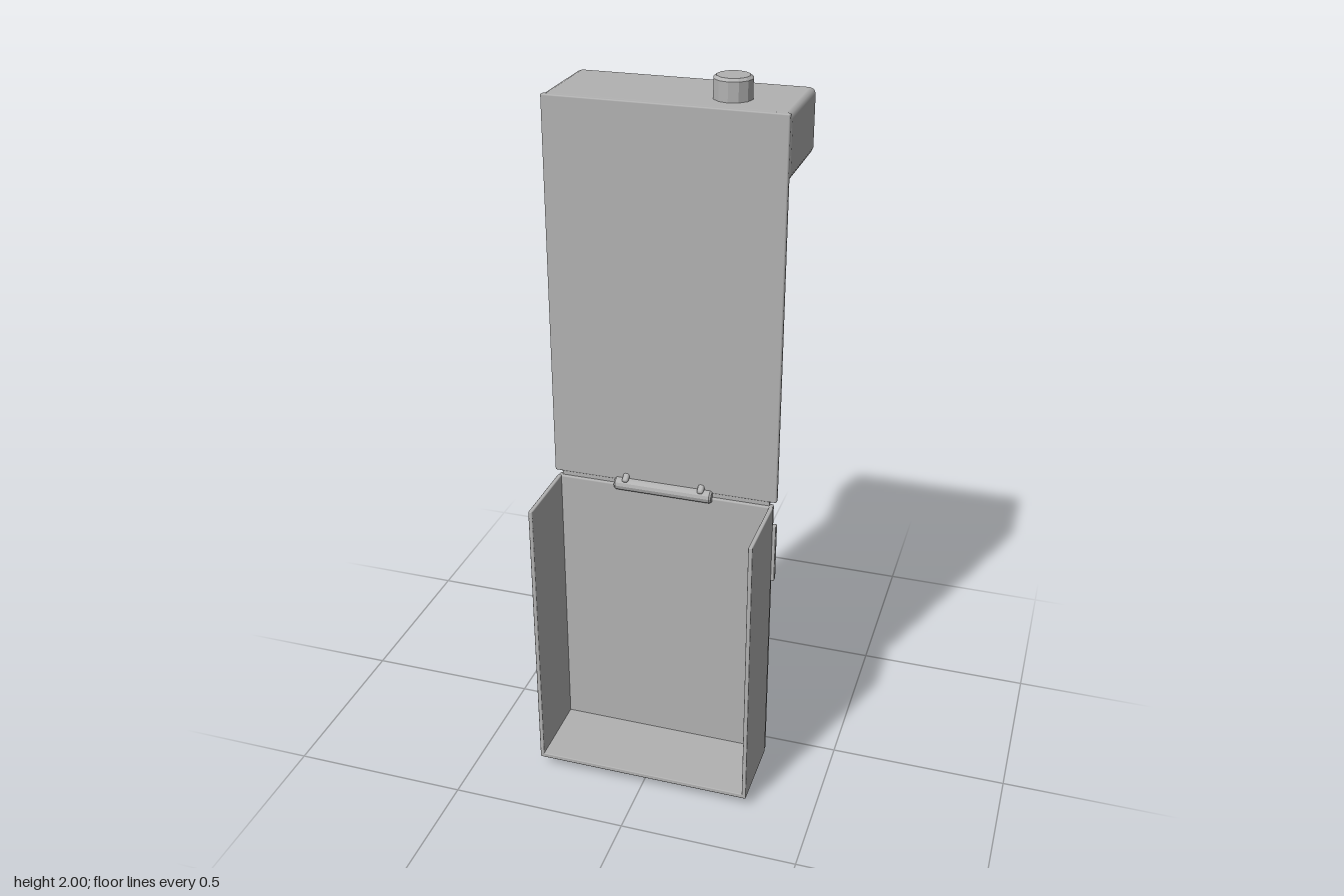
import * as THREE from 'three';
import { RoundedBoxGeometry } from 'three/addons/geometries/RoundedBoxGeometry.js';

export function createModel() {
  const root = new THREE.Group();
  const grey = new THREE.MeshStandardMaterial({ color: 0xb2b2b2 });
  grey.name = 'plainGrey';

  const add = (name, geo, parent = root) => {
    const mesh = new THREE.Mesh(geo, grey);
    mesh.name = name;
    parent.add(mesh);
    return mesh;
  };
  // Bevelled box given by its limits on each axis
  const box = (name, [x0, x1], [y0, y1], [z0, z1], bevel = 0.004, parent = root) => {
    const w = x1 - x0, h = y1 - y0, d = z1 - z0;
    const geo = bevel
      ? new RoundedBoxGeometry(w, h, d, 1, Math.min(bevel, w * 0.45, h * 0.45, d * 0.45))
      : new THREE.BoxGeometry(w, h, d);
    geo.translate((x0 + x1) / 2, (y0 + y1) / 2, (z0 + z1) / 2);
    return add(name, geo, parent);
  };
  // Turned part along +y from [radius, height] pairs, faceted
  const turned = (name, points, sides = 12, parent = root) => {
    const lathe = new THREE.LatheGeometry(points.map(([r, y]) => new THREE.Vector2(r, y)), sides);
    const geo = lathe.toNonIndexed();
    geo.computeVertexNormals();
    return add(name, geo, parent);
  };
  // Rectangular frame extruded in z
  const frame = (name, w, y0, y1, t, z0, depth) => {
    const shape = new THREE.Shape();
    shape.moveTo(-w, y0).lineTo(w, y0).lineTo(w, y1).lineTo(-w, y1).closePath();
    const hole = new THREE.Path();
    hole.moveTo(-w + t, y0 + t).lineTo(-w + t, y1 - t).lineTo(w - t, y1 - t).lineTo(w - t, y0 + t).closePath();
    shape.holes.push(hole);
    const geo = new THREE.ExtrudeGeometry(shape, { depth, bevelEnabled: false });
    geo.translate(0, 0, z0);
    return add(name, geo);
  };

  // Lower tray, open at the front and top
  box('trayBack', [-0.31, 0.31], [0.032, 0.865], [0.085, 0.108], 0.005);
  box('trayFloor', [-0.312, 0.312], [0.032, 0.046], [0.104, 0.325], 0.003);
  for (const s of [-1, 1]) {
    const x = s * 0.306;
    box('traySide', [x - 0.006, x + 0.006], [0.032, 0.865], [0.104, 0.325], 0.003);
    box('sideCatch', [s * 0.315 - 0.006, s * 0.315 + 0.006], [0.63, 0.805], [0.088, 0.106], 0.003);
  }
  box('backLabelPlate', [-0.273, 0.273], [0.085, 0.275], [0.077, 0.086], 0.002);
  box('bottomLatch', [-0.07, 0.07], [0, 0.026], [0.04, 0.097], 0.008);
  box('bottomLatchTab', [-0.045, 0.045], [0.018, 0.04], [0.082, 0.096], 0.003);

  // Upper panel with raised rim, and the head box
  box('panelSheet', [-0.32, 0.32], [0.877, 1.942], [0.086, 0.103], 0.004);
  frame('panelRim', 0.316, 0.88, 1.8, 0.03, 0.073, 0.016);
  box('headBox', [-0.322, 0.322], [1.772, 1.942], [-0.178, 0.1], 0.015);
  turned('topKnob', [[0, 0], [0.051, 0], [0.051, 0.055], [0.043, 0.062], [0, 0.062]])
    .position.set(0.15, 1.938, -0.003);
  const rearKnob = turned('rearKnob', [[0, 0], [0.052, 0], [0.052, 0.025], [0.046, 0.031], [0, 0.031]]);
  rearKnob.position.set(-0.196, 1.857, -0.176);
  rearKnob.rotation.x = -Math.PI / 2;

  // Mounting plate on spacers
  box('mountingPlate', [-0.243, 0.243], [1.057, 1.693], [0.03, 0.066], 0.006);
  for (const x of [-0.19, 0.19]) for (const y of [1.12, 1.63]) {
    box('plateSpacer', [x - 0.02, x + 0.02], [y - 0.02, y + 0.02], [0.06, 0.09], 0);
  }

  // Forked clips, stop blocks and rollers on the plate
  for (const s of [-1, 1]) {
    const x = s * 0.105;
    box('clipBase', [x - 0.033, x + 0.033], [1.557, 1.628], [-0.012, 0.032], 0.004);
    for (const p of [-1, 1]) {
      const px = x + p * 0.024;
      box('clipProng', [px - 0.01, px + 0.01], [1.557, 1.628], [-0.066, 0.0], 0.004);
    }
    box('stopBlock', [x - 0.025, x + 0.025], [1.13, 1.19], [-0.031, 0.032], 0.005);
    const roller = turned('roller', [
      [0, -0.08], [0.011, -0.08], [0.011, -0.06], [0.022, -0.06], [0.028, -0.052],
      [0.028, 0.052], [0.022, 0.06], [0.011, 0.06], [0.011, 0.08], [0, 0.08],
    ]);
    roller.rotation.z = Math.PI / 2;
    roller.position.set(x * 0.97, 1.085, -0.008);
  }

  // Hinge between tray and panel
  const hinge = turned('hingeBarrel', [
    [0, -0.14], [0.014, -0.14], [0.018, -0.135], [0.018, 0.135], [0.014, 0.14], [0, 0.14],
  ]);
  hinge.rotation.z = Math.PI / 2;
  hinge.position.set(0, 0.868, 0.106);
  box('hingeSeam', [-0.3, 0.3], [0.858, 0.884], [0.088, 0.1], 0.003);

  // Swing arm: two rails, crossbar and grip, tilted up towards the back
  const arm = new THREE.Group();
  arm.name = 'swingArm';
  arm.position.set(0, 0.88, 0.095);
  arm.rotation.x = THREE.MathUtils.degToRad(33.7);
  root.add(arm);
  for (const x of [-0.108, 0.108]) {
    box('armRail', [x - 0.009, x + 0.009], [-0.02, 0.021], [-0.425, 0.02], 0.006, arm);
  }
  box('crossbar', [-0.162, 0.162], [-0.025, 0.025], [-0.385, -0.33], 0.013, arm);
  for (const s of [-1, 1]) {
    box('crossbarCollar', [s * 0.135 - 0.026, s * 0.135 + 0.026], [-0.029, 0.029], [-0.389, -0.326], 0.012, arm);
  }
  const grip = turned('grip', [
    [0, 0], [0.018, 0], [0.018, 0.082], [0.027, 0.085], [0.036, 0.105],
    [0.037, 0.14], [0.031, 0.178], [0.024, 0.186], [0, 0.186],
  ], 12, arm);
  grip.rotation.x = Math.PI;
  grip.position.set(0, 0, -0.357);

  return root;
}
